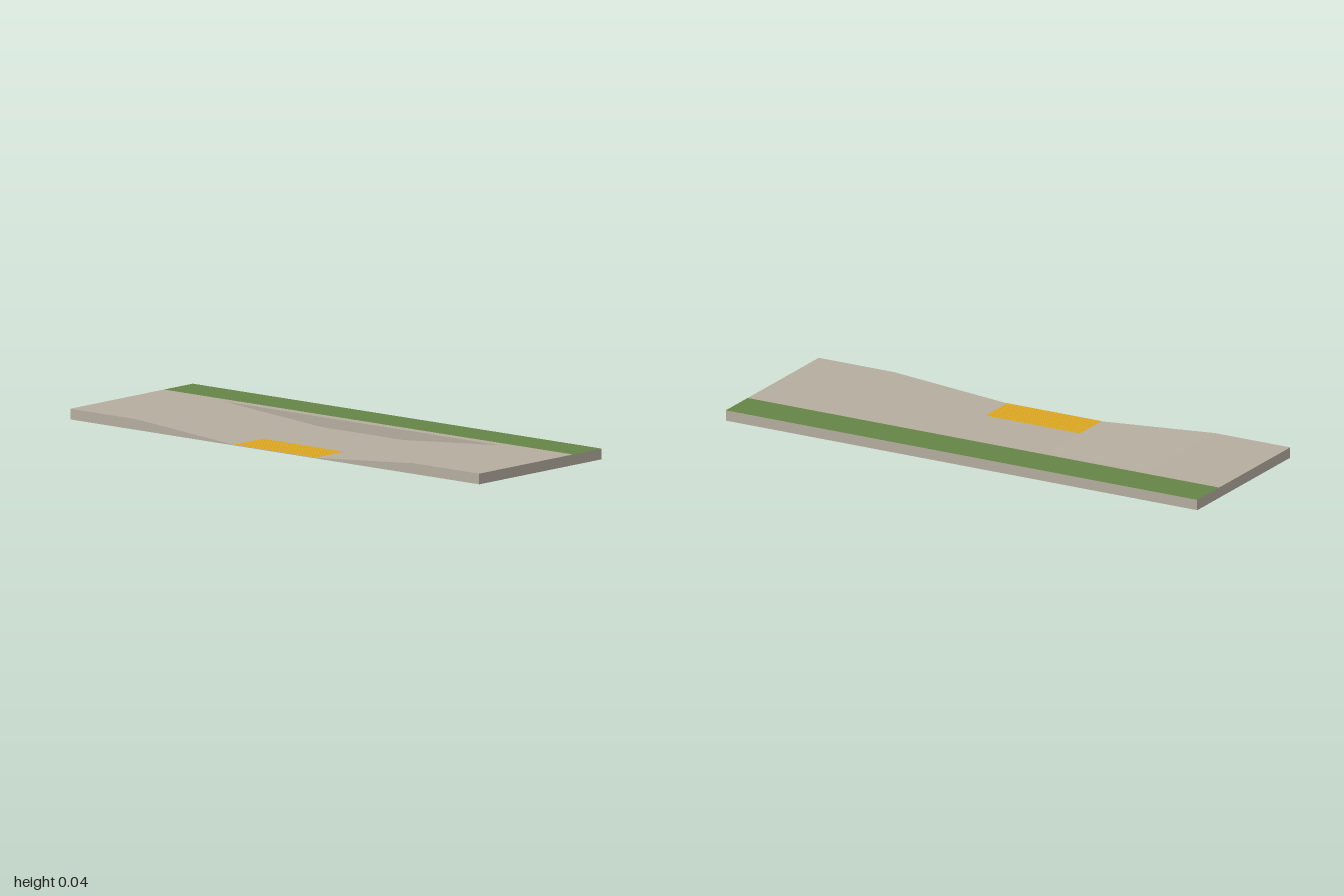
import * as THREE from 'three';

const H = 0.04, FLOOR = 0.002, Z_BACK = -0.34, Z_GRASS = -0.18, Z_RAMP = -0.145, Z_FRONT = 0.34;
// Height of the walk along x: level, flared down, landing, flared up, level
const PROFILE = [[-1, H], [-0.68, H], [-0.2, FLOOR], [0.2, FLOOR], [0.68, H], [1, H]];

// Flat-shaded faces from quads; corners run counter-clockwise seen from outside
function quads(list) {
  const pos = [];
  for (const [a, b, c, d] of list) pos.push(...a, ...b, ...c, ...a, ...c, ...d);
  const g = new THREE.BufferGeometry();
  g.setAttribute('position', new THREE.Float32BufferAttribute(pos, 3));
  g.computeVertexNormals();
  return g;
}

// Level rectangle facing up
const level = (x0, x1, z0, z1, y) => [[x0, y, z1], [x1, y, z1], [x1, y, z0], [x0, y, z0]];

export function createModel() {
  const concrete = new THREE.MeshStandardMaterial({ color: 0xb5ad9f, side: THREE.DoubleSide });
  concrete.name = 'concrete';
  const grass = new THREE.MeshStandardMaterial({ color: 0x658446, side: THREE.DoubleSide });
  grass.name = 'grass';
  const yellow = new THREE.MeshStandardMaterial({ color: 0xdaa520 });
  yellow.name = 'tactile yellow';

  const model = new THREE.Group();
  model.name = 'curbRamp';
  const add = (name, geometry, material) => {
    const mesh = new THREE.Mesh(geometry, material);
    mesh.name = name;
    model.add(mesh);
    return mesh;
  };

  // Level strips behind the ramp
  add('grassStrip', quads([level(-1, 1, Z_BACK, Z_GRASS, H)]), grass);
  add('upperWalk', quads([level(-1, 1, Z_GRASS, Z_RAMP, H)]), concrete);

  // Ramp surface, front curb face and the wall behind the dip
  const ramp = [], curb = [], wall = [];
  for (let i = 0; i < PROFILE.length - 1; i++) {
    const [x0, y0] = PROFILE[i], [x1, y1] = PROFILE[i + 1];
    ramp.push([[x0, y0, Z_FRONT], [x1, y1, Z_FRONT], [x1, y1, Z_RAMP], [x0, y0, Z_RAMP]]);
    curb.push([[x0, 0, Z_FRONT], [x1, 0, Z_FRONT], [x1, y1, Z_FRONT], [x0, y0, Z_FRONT]]);
    if (y0 < H || y1 < H) {
      wall.push([[x0, y0, Z_RAMP], [x1, y1, Z_RAMP], [x1, H, Z_RAMP], [x0, H, Z_RAMP]]);
    }
  }
  add('rampSurface', quads(ramp), concrete);
  add('frontCurb', quads(curb), concrete);
  add('dipWall', quads(wall), concrete);

  // Outer skirt, open underneath
  add('leftSide', quads([[[1, 0, Z_FRONT], [1, 0, Z_BACK], [1, H, Z_BACK], [1, H, Z_FRONT]]]), concrete);
  add('rightSide', quads([[[-1, 0, Z_BACK], [-1, 0, Z_FRONT], [-1, H, Z_FRONT], [-1, H, Z_BACK]]]), concrete);
  add('backSide', quads([[[1, 0, Z_BACK], [-1, 0, Z_BACK], [-1, H, Z_BACK], [1, H, Z_BACK]]]), concrete);

  // Tactile warning pad with a grid of low truncated domes
  const padY = FLOOR + 0.001, z0 = 0.18, cols = 24, rows = 10;
  add('tactilePad', quads([level(-0.2, 0.2, z0, Z_FRONT, padY)]), yellow);
  const dome = new THREE.CylinderGeometry(0.0025, 0.0045, 0.0015, 8);
  const domes = new THREE.Group();
  domes.name = 'tactileDomes';
  for (let i = 0; i < cols; i++) {
    for (let j = 0; j < rows; j++) {
      const m = new THREE.Mesh(dome, yellow);
      m.name = 'dome';
      m.position.set(-0.2 + 0.4 * (i + 0.5) / cols, padY + 0.00075, z0 + (Z_FRONT - z0) * (j + 0.5) / rows);
      domes.add(m);
    }
  }
  model.add(domes);
  return model;
}
